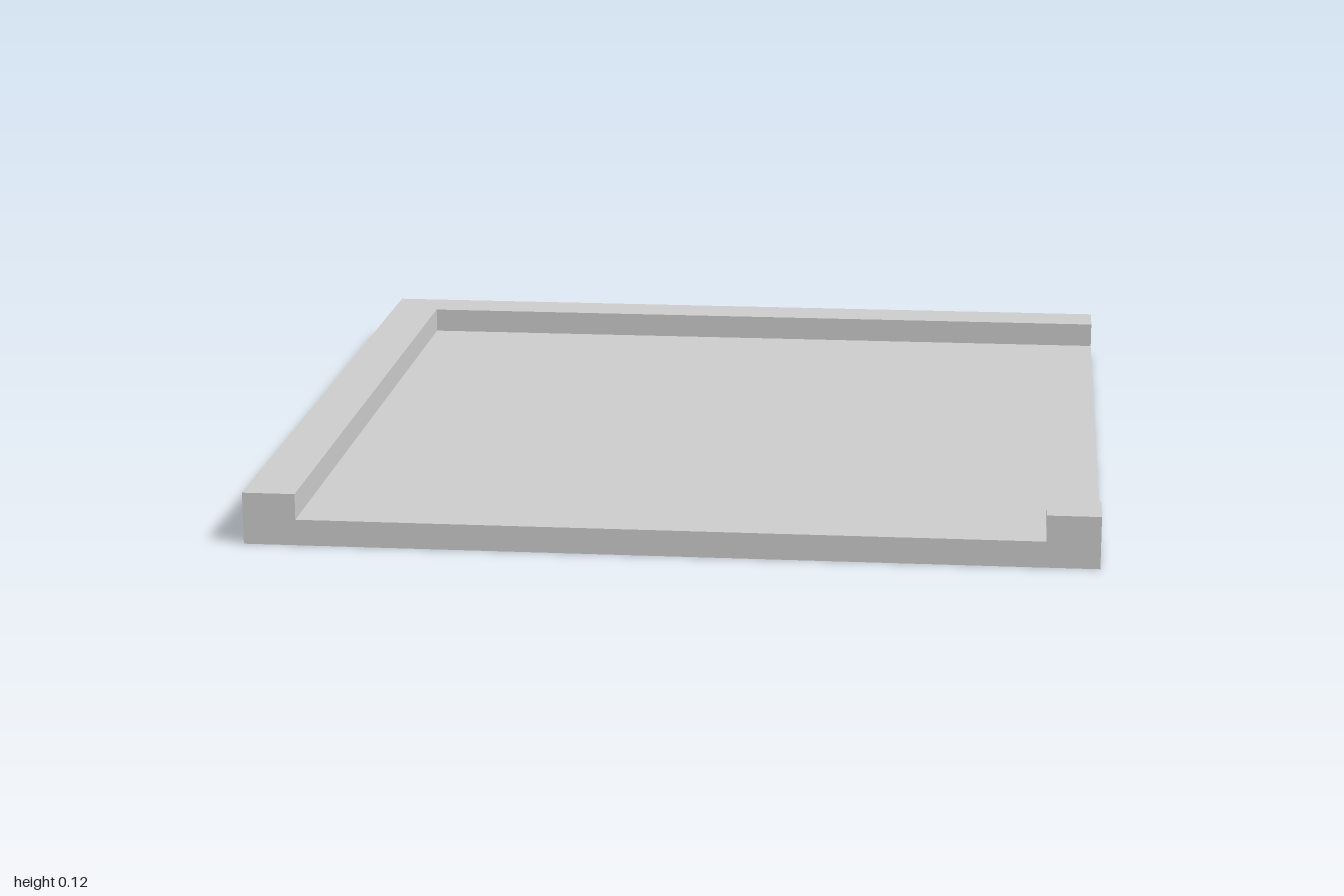
import * as THREE from 'three';

const SIZE = 2, HALF = SIZE / 2;
const FLOOR = 0.0625; // floor thickness
const RIM = 0.125;    // rim width and overall height

export function createModel() {
  const model = new THREE.Group();
  model.name = 'corner floor tile';
  const stone = new THREE.MeshStandardMaterial({ color: 0xcccccc });
  stone.name = 'light grey';

  function add(name, geometry, x, y, z) {
    const mesh = new THREE.Mesh(geometry, stone);
    mesh.name = name;
    mesh.position.set(x, y, z);
    model.add(mesh);
  }

  // Square floor slab
  add('floor', new THREE.BoxGeometry(SIZE, FLOOR, SIZE), 0, FLOOR / 2, 0);

  // L-shaped raised rim along the back and right edges (shape y becomes -z)
  const inner = HALF - RIM;
  const outline = [[-HALF, -HALF], [-inner, -HALF], [-inner, inner], [HALF, inner], [HALF, HALF], [-HALF, HALF]];
  const shape = new THREE.Shape(outline.map(([x, y]) => new THREE.Vector2(x, y)));
  const rim = new THREE.ExtrudeGeometry(shape, { depth: RIM - FLOOR, bevelEnabled: false });
  rim.rotateX(-Math.PI / 2);
  add('rim', rim, 0, FLOOR, 0);

  // Small post at the open front left corner
  const post = new THREE.BoxGeometry(RIM, RIM - FLOOR, RIM);
  add('cornerPost', post, HALF - RIM / 2, (RIM + FLOOR) / 2, HALF - RIM / 2);

  return model;
}
